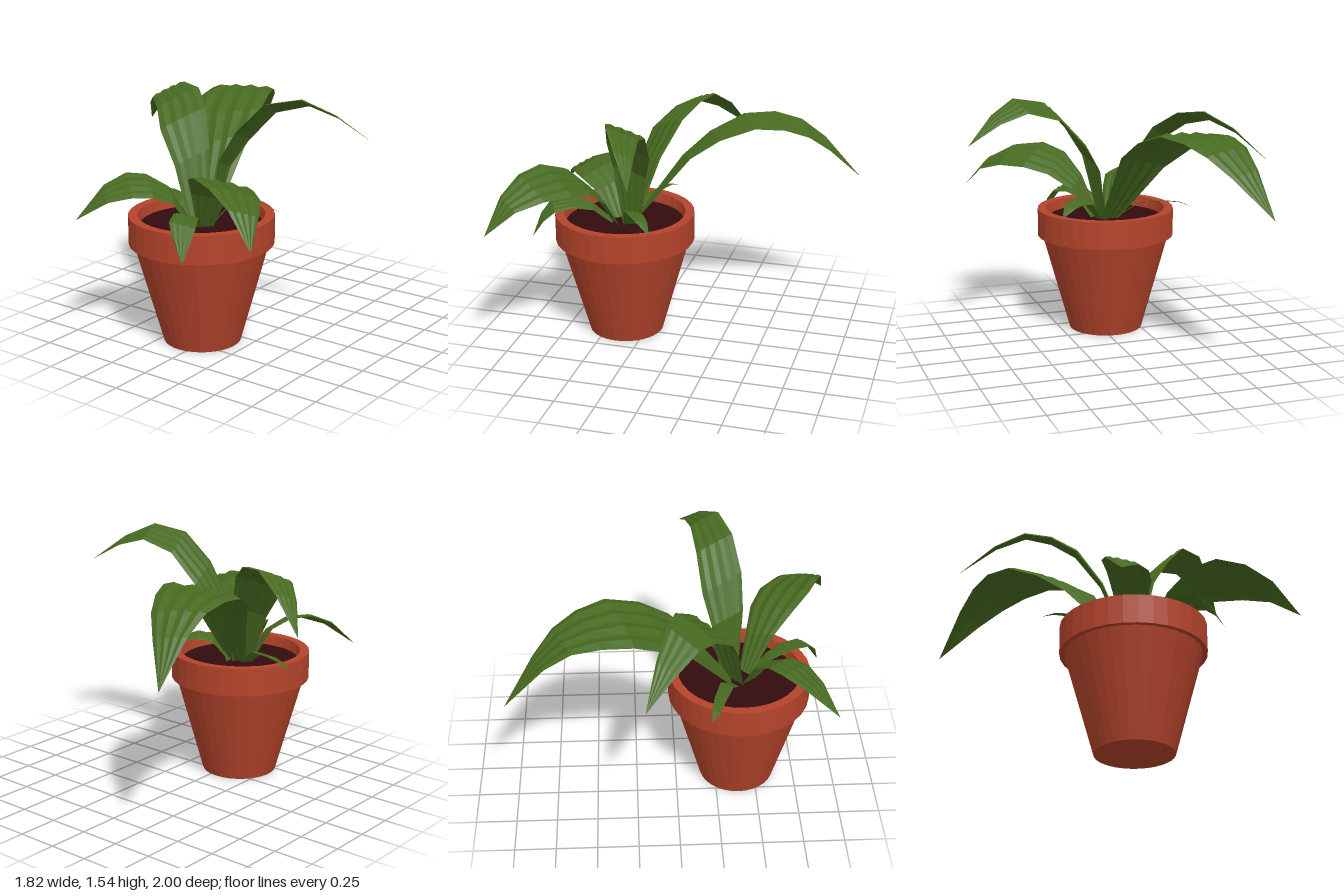
import * as THREE from 'three';

const terracotta = new THREE.MeshStandardMaterial({ color: 0xb5442b, flatShading: true });
terracotta.name = 'terracotta';
const leafGreen = new THREE.MeshStandardMaterial({ color: 0x476a20, flatShading: true, side: THREE.DoubleSide });
leafGreen.name = 'leafGreen';
const soilBrown = new THREE.MeshStandardMaterial({ color: 0x320b0d });
soilBrown.name = 'soilBrown';

const POT_X = -0.05, POT_Z = 0.39;

// Each leaf: midrib stations [x, y, z, half width] from root to tip,
// and the sideways slope of the blade at the root and at the tip
const LEAVES = {
  tallBackLeaf: { roll: [0.38, -0.25], rib: [
    [-0.05, 0.7, 0.36, 0.05], [-0.17, 1.15, 0.03, 0.175], [-0.25, 1.28, -0.13, 0.215], [-0.33, 1.37, -0.33, 0.23],
    [-0.39, 1.37, -0.51, 0.205], [-0.435, 1.32, -0.665, 0.16], [-0.49, 1.21, -0.8, 0.1], [-0.585, 0.97, -1, 0]] },
  tallRightLeaf: { roll: [0.4, 0.4], rib: [
    [-0.02, 0.7, 0.34, 0.05], [0.06, 1.1, 0.32, 0.1], [0.17, 1.28, 0.29, 0.125], [0.34, 1.46, 0.25, 0.115],
    [0.55, 1.51, 0.2, 0.09], [0.72, 1.44, 0.14, 0.055], [0.91, 1.3, 0.06, 0]] },
  tallLeftLeaf: { roll: [0.4, 0.4], rib: [
    [-0.07, 0.7, 0.37, 0.06], [-0.2, 1.09, 0.28, 0.11], [-0.33, 1.3, 0.2, 0.145], [-0.45, 1.4, 0.1, 0.135],
    [-0.59, 1.42, 0.02, 0.105], [-0.74, 1.33, -0.08, 0.065], [-0.91, 1.15, -0.2, 0]] },
  frontRightLeaf: { roll: [0.3, 0.3], rib: [
    [-0.01, 0.7, 0.42, 0.04], [0.1, 0.95, 0.52, 0.1], [0.21, 1.07, 0.6, 0.155], [0.34, 1.12, 0.69, 0.175],
    [0.49, 1.11, 0.79, 0.145], [0.62, 1.04, 0.89, 0.085], [0.74, 0.87, 0.995, 0]] },
  frontLeftLeaf: { roll: [0.3, 0.3], rib: [
    [-0.09, 0.7, 0.42, 0.05], [-0.17, 0.92, 0.52, 0.1], [-0.25, 0.99, 0.62, 0.13], [-0.34, 1.0, 0.7, 0.135],
    [-0.44, 0.95, 0.8, 0.095], [-0.55, 0.8, 0.94, 0]] },
  smallFrontLeaf: { roll: [0.25, 0.25], rib: [
    [-0.04, 0.7, 0.43, 0.03], [0.02, 0.84, 0.58, 0.05], [0.07, 0.875, 0.69, 0.07], [0.13, 0.86, 0.8, 0.075],
    [0.17, 0.79, 0.86, 0.05], [0.21, 0.67, 0.91, 0]] },
  smallLeftLeaf: { roll: [0.25, 0.25], rib: [
    [-0.09, 0.71, 0.37, 0.03], [-0.25, 0.83, 0.3, 0.04], [-0.4, 0.84, 0.25, 0.035], [-0.5, 0.83, 0.22, 0.025],
    [-0.57, 0.8, 0.19, 0]] },
  smallRightLeaf: { roll: [0.25, 0.25], rib: [
    [-0.01, 0.71, 0.36, 0.03], [0.1, 0.86, 0.3, 0.05], [0.18, 0.88, 0.25, 0.055], [0.25, 0.86, 0.19, 0.04],
    [0.32, 0.8, 0.12, 0]] },
};

// Lightly pleated, rolled blade swept along its midrib
function leafGeometry({ rib, roll }) {
  const COLS = 8, positions = [], index = [];
  const pts = rib.map(([x, y, z]) => new THREE.Vector3(x, y, z));
  const last = pts.length - 1;
  const heading = pts[last].clone().sub(pts[0]);
  const level = new THREE.Vector3(-heading.z, 0, heading.x).normalize();
  pts.forEach((p, i) => {
    const tangent = pts[Math.min(i + 1, last)].clone().sub(pts[Math.max(i - 1, 0)]).normalize();
    const across = level.clone().setY(THREE.MathUtils.lerp(roll[0], roll[1], i / last));
    const normal = across.clone().cross(tangent).normalize();
    const half = rib[i][3];
    for (let j = 0; j <= COLS; j++) {
      const v = (j / COLS) * 2 - 1;
      const lift = half * (0.02 - 0.06 * v * v + (j % 2 ? 0.035 : -0.035));
      positions.push(...p.clone().addScaledVector(across, v * half).addScaledVector(normal, lift).toArray());
      if (i < last && j < COLS) {
        const a = i * (COLS + 1) + j, c = a + COLS + 1;
        index.push(a, a + 1, c + 1, a, c + 1, c);
      }
    }
  });
  const geometry = new THREE.BufferGeometry();
  geometry.setAttribute('position', new THREE.Float32BufferAttribute(positions, 3));
  geometry.setIndex(index);
  geometry.computeVertexNormals();
  return geometry;
}

export function createModel() {
  const model = new THREE.Group();
  model.name = 'pottedPlant';
  const add = (name, geometry, material) => {
    const mesh = new THREE.Mesh(geometry, material);
    mesh.name = name;
    model.add(mesh);
    return mesh;
  };

  // Tapered pot with a thick overhanging rim
  const profile = [[0, 0], [0.235, 0], [0.406, 0.62], [0.436, 0.62], [0.436, 0.795], [0.38, 0.795], [0.365, 0.7]];
  add('pot', new THREE.LatheGeometry(profile.map(([r, y]) => new THREE.Vector2(r, y)), 32), terracotta)
    .position.set(POT_X, 0, POT_Z);

  // Soil surface inside the rim
  add('soil', new THREE.CircleGeometry(0.372, 32).rotateX(-Math.PI / 2), soilBrown)
    .position.set(POT_X, 0.73, POT_Z);

  // Leaves fanning out from the middle
  for (const [name, leaf] of Object.entries(LEAVES)) add(name, leafGeometry(leaf), leafGreen);

  return model;
}
